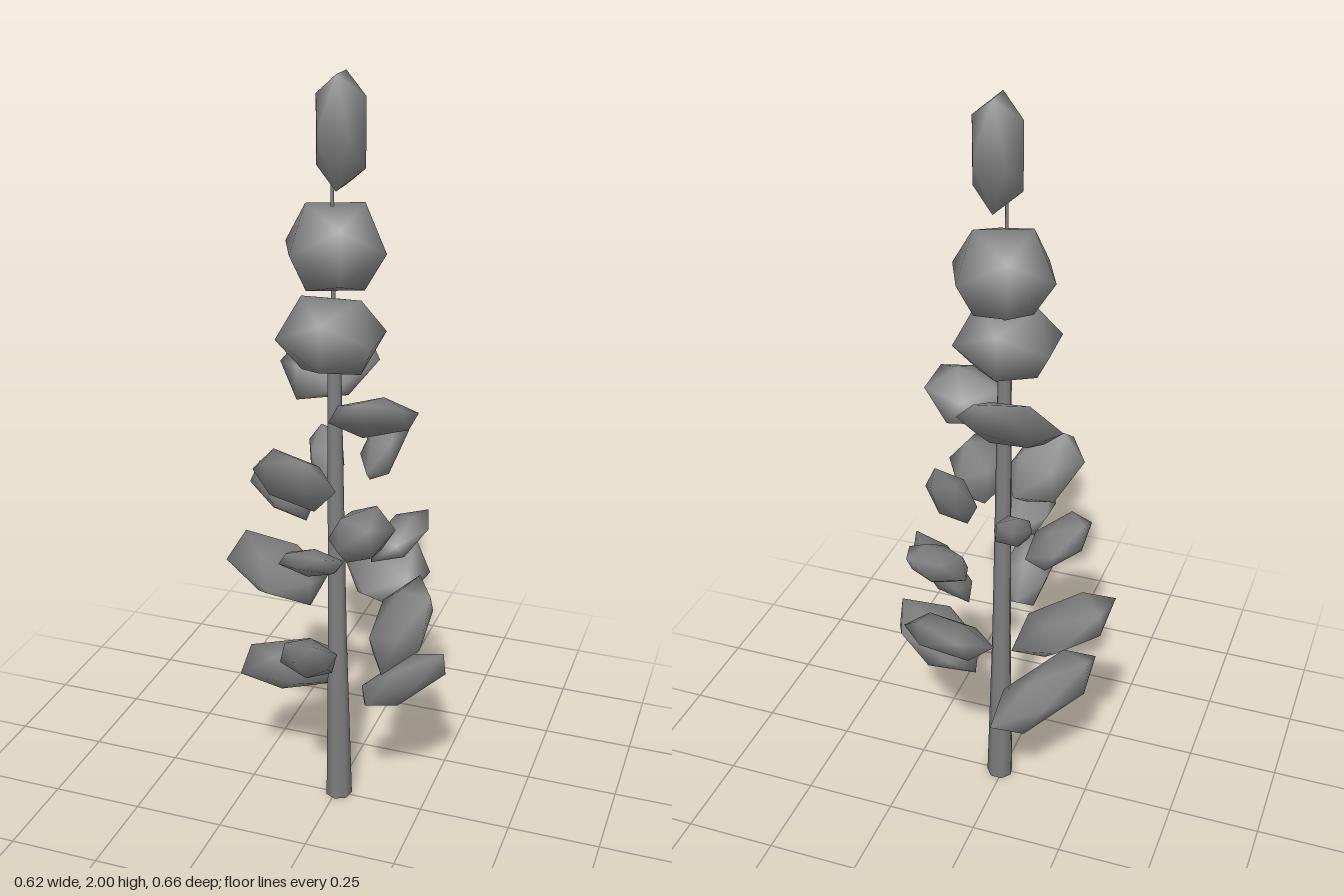
import * as THREE from 'three';
import { mergeVertices } from 'three/addons/utils/BufferGeometryUtils.js';

// Leaf clumps: x, y and z range; some twist away from the usual outward rise,
// given as slants (-1 to 1) in the xy, yz and xz planes
const CLUMPS = [
  { x: [-0.05, 0.075], y: [1.73, 2.0], z: [-0.06, 0.06] },
  { x: [-0.145, 0.13], y: [1.47, 1.69], z: [-0.125, 0.09] },
  { x: [-0.125, 0.13], y: [1.28, 1.47], z: [-0.07, 0.155] },
  { x: [-0.195, 0.065], y: [1.155, 1.33], z: [-0.22, -0.055], slants: [0.1, -0.75, -0.3] },
  { x: [0.015, 0.23], y: [1.12, 1.25], z: [0.005, 0.14], slants: [0.25, 0.65, -0.1] },
  { x: [-0.185, 0.025], y: [0.9, 1.09], z: [0.025, 0.16], slants: [-0.25, 0.7, -0.4] },
  { x: [0.02, 0.14], y: [0.925, 1.12], z: [-0.24, -0.08] },
  { x: [-0.145, -0.03], y: [0.9, 1.03], z: [-0.25, -0.1] },
  { x: [0.04, 0.21], y: [0.83, 0.99], z: [0.07, 0.26], slants: [0.25, 0.25, 0] },
  { x: [-0.245, -0.1], y: [0.815, 0.955], z: [-0.15, 0.02], slants: [-0.65, 0.15, 0] },
  { x: [-0.08, 0.07], y: [0.765, 0.86], z: [0.075, 0.27] },
  { x: [0.06, 0.22], y: [0.72, 0.835], z: [-0.195, -0.04] },
  { x: [-0.312, -0.085], y: [0.56, 0.72], z: [-0.22, 0.05], slants: [-0.7, 0.05, -0.1] },
  { x: [0.125, 0.285], y: [0.525, 0.72], z: [-0.03, 0.183], slants: [0.5, -0.45, 0.3] },
  { x: [-0.055, 0.2], y: [0.56, 0.7], z: [-0.33, -0.11], slants: [0, -0.75, 0.2] },
  { x: [-0.06, 0.07], y: [0.49, 0.64], z: [0.12, 0.328] },
  { x: [0.09, 0.308], y: [0.32, 0.525], z: [-0.06, 0.105], slants: [0.72, 0, -0.25] },
  { x: [-0.24, -0.03], y: [0.29, 0.445], z: [-0.2, 0.105], slants: [-0.5, 0.5, -0.65] },
];

// Clumps beside the trunk rise outward; those on top of it stay level
function outwardSlants({ x, z }) {
  const reach = Math.hypot(x, z);
  if (reach < 0.06) return [0, 0, 0];
  const xy = 0.72 * x / reach;
  const yz = 0.72 * z / reach;
  return [xy, yz, xy * yz];
}

// Faceted ball, sheared by its slants into a tilted lens of the given size
function clumpGeometry(center, size, [xy, yz, xz]) {
  const ico = new THREE.IcosahedronGeometry(1, 0);
  ico.deleteAttribute('normal');
  ico.deleteAttribute('uv');
  const geo = mergeVertices(ico);
  geo.rotateY(Math.atan2(center.x, center.z));

  const yy = Math.sqrt(1 - xy * xy);
  const zy = (yz - xy * xz) / yy;
  const zz = Math.sqrt(1 - xz * xz - zy * zy);
  geo.applyMatrix4(new THREE.Matrix4().set(
    1, 0, 0, 0,
    xy, yy, 0, 0,
    xz, zy, zz, 0,
    0, 0, 0, 1));

  geo.center();
  geo.computeBoundingBox();
  const raw = geo.boundingBox.getSize(new THREE.Vector3());
  geo.scale(size.x / raw.x, size.y / raw.y, size.z / raw.z);
  geo.computeVertexNormals();
  return geo;
}

export function createModel() {
  const group = new THREE.Group();
  group.name = 'tree';
  const grey = new THREE.MeshStandardMaterial({ color: 0x808080 });
  grey.name = 'grey';

  // Tapering trunk, ending in a thin stem
  const profile = [[0, 0], [0.037, 0], [0.026, 0.5], [0.018, 1.3], [0.006, 1.42], [0.004, 1.78], [0, 1.78]]
    .map(([r, y]) => new THREE.Vector2(r, y));
  const trunk = new THREE.Mesh(new THREE.LatheGeometry(profile, 7), grey);
  trunk.name = 'trunk';
  trunk.position.set(0.008, 0, -0.004);
  trunk.rotation.z = 0.011;
  group.add(trunk);

  // Leaf clumps, from the tip down
  CLUMPS.forEach(({ x, y, z, slants }, i) => {
    const center = new THREE.Vector3(x[0] + x[1], y[0] + y[1], z[0] + z[1]).multiplyScalar(0.5);
    const size = new THREE.Vector3(x[1] - x[0], y[1] - y[0], z[1] - z[0]);
    const leaf = new THREE.Mesh(clumpGeometry(center, size, slants ?? outwardSlants(center)), grey);
    leaf.name = i === 0 ? 'topClump' : `leafClump${i}`;
    leaf.position.copy(center);
    group.add(leaf);
  });
  return group;
}
